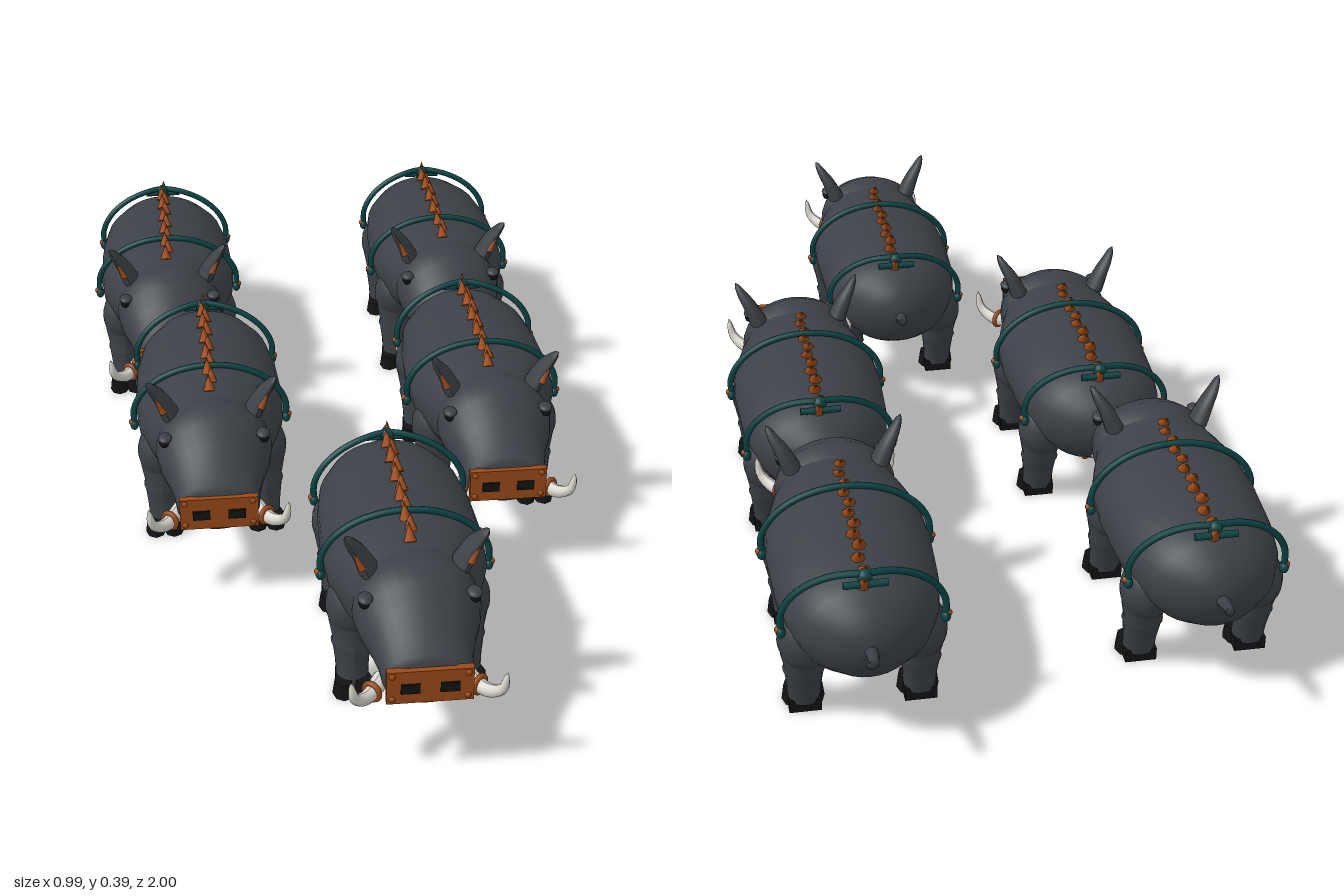
import * as THREE from 'three';

const mat = (name, color, extra) => new THREE.MeshStandardMaterial({ name, color, ...extra });

// Closed skin through elliptical rings [z, centreY, radiusX, radiusY]
function loft(rings, sides = 32) {
  const pos = [], idx = [];
  for (const [z, cy, rx, ry] of rings) {
    for (let j = 0; j < sides; j++) {
      const a = (j / sides) * Math.PI * 2;
      pos.push(Math.cos(a) * rx, cy + Math.sin(a) * ry, z);
    }
  }
  for (let i = 0; i < rings.length - 1; i++) {
    for (let j = 0; j < sides; j++) {
      const k = (j + 1) % sides;
      const a = i * sides + j, b = i * sides + k, c = a + sides, d = b + sides;
      idx.push(a, b, c, b, d, c);
    }
  }
  const g = new THREE.BufferGeometry();
  g.setAttribute('position', new THREE.Float32BufferAttribute(pos, 3));
  g.setIndex(idx);
  g.computeVertexNormals();
  return g;
}

const curveOf = (pts) => new THREE.CatmullRomCurve3(pts.map((p) => new THREE.Vector3(...p)));

// Tube whose radius shrinks to a point
function horn(pts, radius, sides = 10, steps = 12) {
  const curve = curveOf(pts);
  const g = new THREE.TubeGeometry(curve, steps, radius, sides);
  const p = g.attributes.position, v = new THREE.Vector3();
  for (let i = 0; i <= steps; i++) {
    const c = curve.getPointAt(i / steps);
    const s = Math.sqrt(1 - i / steps) * 0.98 + 0.02;
    for (let j = 0; j <= sides; j++) {
      const n = i * (sides + 1) + j;
      v.fromBufferAttribute(p, n).sub(c).multiplyScalar(s).add(c);
      p.setXYZ(n, v.x, v.y, v.z);
    }
  }
  g.computeVertexNormals();
  return g;
}

export function createModel() {
  const hide = mat('dark grey hide', 0x3c4147);
  const rust = mat('rust metal', 0x9c4a18);
  const teal = mat('teal strap', 0x0c4444);
  const ivory = mat('ivory', 0xd8d5cc);
  const black = mat('black hoof', 0x131315);

  const boar = new THREE.Group();
  boar.name = 'boar';
  const add = (name, geo, material, x = 0, y = 0, z = 0, parent = boar) => {
    const m = new THREE.Mesh(geo, material);
    m.name = name;
    m.position.set(x, y, z);
    parent.add(m);
    return m;
  };
  const ball = new THREE.SphereGeometry(1, 20, 14);

  // Torso, neck and head
  add('body', loft([
    [-0.36, 0.215, 0, 0], [-0.354, 0.215, 0.04, 0.036], [-0.335, 0.215, 0.08, 0.068],
    [-0.3, 0.217, 0.115, 0.09], [-0.25, 0.22, 0.138, 0.1], [-0.17, 0.222, 0.15, 0.105],
    [-0.05, 0.224, 0.155, 0.107], [0.03, 0.225, 0.15, 0.108], [0.09, 0.227, 0.132, 0.104],
    [0.13, 0.228, 0.118, 0.1], [0.16, 0.229, 0.11, 0.098], [0.18, 0.229, 0.1, 0.09], [0.2, 0.229, 0, 0],
  ]), hide);
  add('head', loft([
    [0.06, 0.236, 0, 0], [0.08, 0.236, 0.08, 0.07], [0.11, 0.236, 0.112, 0.094],
    [0.16, 0.236, 0.118, 0.1], [0.2, 0.228, 0.11, 0.092], [0.24, 0.216, 0.095, 0.076],
    [0.28, 0.206, 0.085, 0.058], [0.315, 0.2, 0.082, 0.05], [0.33, 0.2, 0.076, 0.044], [0.332, 0.2, 0, 0],
  ]), hide);
  add('lowerJaw', ball, hide, 0, 0.163, 0.25).scale.set(0.072, 0.028, 0.07);

  // Snout plate with nostrils and rivets
  add('snoutPlate', new THREE.BoxGeometry(0.154, 0.068, 0.014), rust, 0, 0.2, 0.334);
  for (const s of [-1, 1]) {
    add('nostril', new THREE.BoxGeometry(0.034, 0.02, 0.004), black, s * 0.035, 0.198, 0.342);
    for (const y of [0.176, 0.225]) {
      add('plateRivet', ball, rust, s * 0.067, y, 0.341).scale.set(0.006, 0.006, 0.004);
    }
  }

  for (const s of [-1, 1]) {
    // Tusk and its metal ring
    add('tusk', horn([[s * 0.075, 0.165, 0.265], [s * 0.105, 0.153, 0.3],
      [s * 0.13, 0.17, 0.325], [s * 0.138, 0.21, 0.33]], 0.017), ivory);
    const ring = add('tuskRing', new THREE.TorusGeometry(0.0165, 0.005, 8, 16), rust, s * 0.096, 0.156, 0.29);
    ring.rotation.y = s * 0.75;

    // Eye with brow
    add('eye', ball, black, s * 0.1, 0.282, 0.197).scale.set(0.01, 0.012, 0.013);
    add('eyelid', ball, hide, s * 0.098, 0.29, 0.196).scale.set(0.014, 0.008, 0.018);

    // Ear: flattened cone flaring outward, with a rust lining
    const ear = new THREE.Group();
    ear.name = 'ear';
    ear.position.set(s * 0.085, 0.305, 0.125);
    ear.rotation.set(0.12, 0, -s * 0.42);
    boar.add(ear);
    add('earShell', horn([[0, 0, 0], [0, 0.04, 0], [s * 0.004, 0.07, 0.004],
      [s * 0.006, 0.098, 0.01]], 0.022), hide, 0, 0, 0, ear).scale.set(0.85, 1, 1.4);
    const lining = add('earLining', new THREE.ConeGeometry(0.008, 0.055, 8), rust, s * 0.004, 0.05, 0.02, ear);
    lining.rotation.x = -0.12;

    // Legs: front and back
    for (const [name, top, foot] of [['frontLeg', 0.045, 0.075], ['backLeg', -0.23, -0.2]]) {
      const leg = new THREE.Group();
      leg.name = name;
      boar.add(leg);
      add('thigh', ball, hide, s * 0.105, 0.17, top, leg).scale.set(0.05, 0.062, 0.054);
      const profile = [[0.03, 0.018], [0.032, 0.055], [0.036, 0.088], [0.039, 0.096],
        [0.036, 0.104], [0.043, 0.14], [0.045, 0.17]].map(([r, y]) => new THREE.Vector2(r, y));
      const g = new THREE.LatheGeometry(profile, 18);
      const p = g.attributes.position;
      for (let i = 0; i < p.count; i++) {
        p.setZ(i, p.getZ(i) + THREE.MathUtils.lerp(foot, top, Math.min(1, p.getY(i) / 0.15)));
      }
      g.computeVertexNormals();
      add('shin', g, hide, s * 0.107, 0, 0, leg);
      for (const t of [-1, 1]) {
        add('hoof', new THREE.CylinderGeometry(0.017, 0.021, 0.03, 8), black,
          s * 0.107 + t * 0.019, 0.015, foot + 0.018, leg).scale.z = 1.35;
      }
      add('heel', new THREE.BoxGeometry(0.06, 0.026, 0.04), black, s * 0.107, 0.013, foot - 0.008, leg);
    }
  }

  // Tail
  add('tail', horn([[0, 0.213, -0.34], [0, 0.223, -0.38], [0.004, 0.235, -0.415], [0.022, 0.256, -0.447]], 0.013), hide);

  // Harness straps over the back, with end knots
  for (const [name, z, w, h, lean] of [['girthStrap', -0.005, 0.161, 0.116, 0], ['rumpStrap', -0.27, 0.15, 0.112, 0.02]]) {
    const pts = [];
    for (let i = 0; i <= 10; i++) {
      const a = -0.15 + (i / 10) * (Math.PI + 0.3);
      pts.push([Math.cos(a) * w, 0.222 + Math.sin(a) * h, z + lean * (Math.abs(Math.cos(a)) - 0.5) * 1.5]);
    }
    add(name, new THREE.TubeGeometry(curveOf(pts), 40, 0.0065, 8), teal);
    for (const i of [0, 10]) {
      add('strapKnot', ball, teal, ...pts[i]).scale.set(0.009, 0.012, 0.012);
      add('strapStud', ball, rust, pts[i][0] * 1.03, pts[i][1] + 0.006, pts[i][2]).scale.setScalar(0.007);
    }
  }
  const bar = add('strapToggle', new THREE.CylinderGeometry(0.007, 0.007, 0.08, 10), teal, 0, 0.318, -0.295);
  bar.rotation.z = Math.PI / 2;
  add('strapKnob', ball, teal, 0, 0.328, -0.285).scale.setScalar(0.014);

  // Ridge of spikes leaning backward along the spine
  for (let i = 0; i < 12; i++) {
    const z = 0.08 - i * 0.034;
    const y = z < -0.2 ? 0.33 + (z + 0.2) * 0.13 : 0.332;
    const spike = add('backSpike', new THREE.ConeGeometry(0.013, 0.04, 8), rust, (i % 2 ? 1 : -1) * 0.003, y + 0.009, z - 0.008);
    spike.rotation.x = -0.75;
  }

  // Herd in a wedge formation
  const herd = new THREE.Group();
  herd.name = 'boarHerd';
  for (const [x, z] of [[0, 0.652], [-0.295, 0.055], [0.287, 0.055], [-0.322, -0.55], [0.322, -0.55]]) {
    const b = boar.clone();
    b.position.set(x, 0, z);
    b.rotation.y = -0.07;
    herd.add(b);
  }
  return herd;
}
